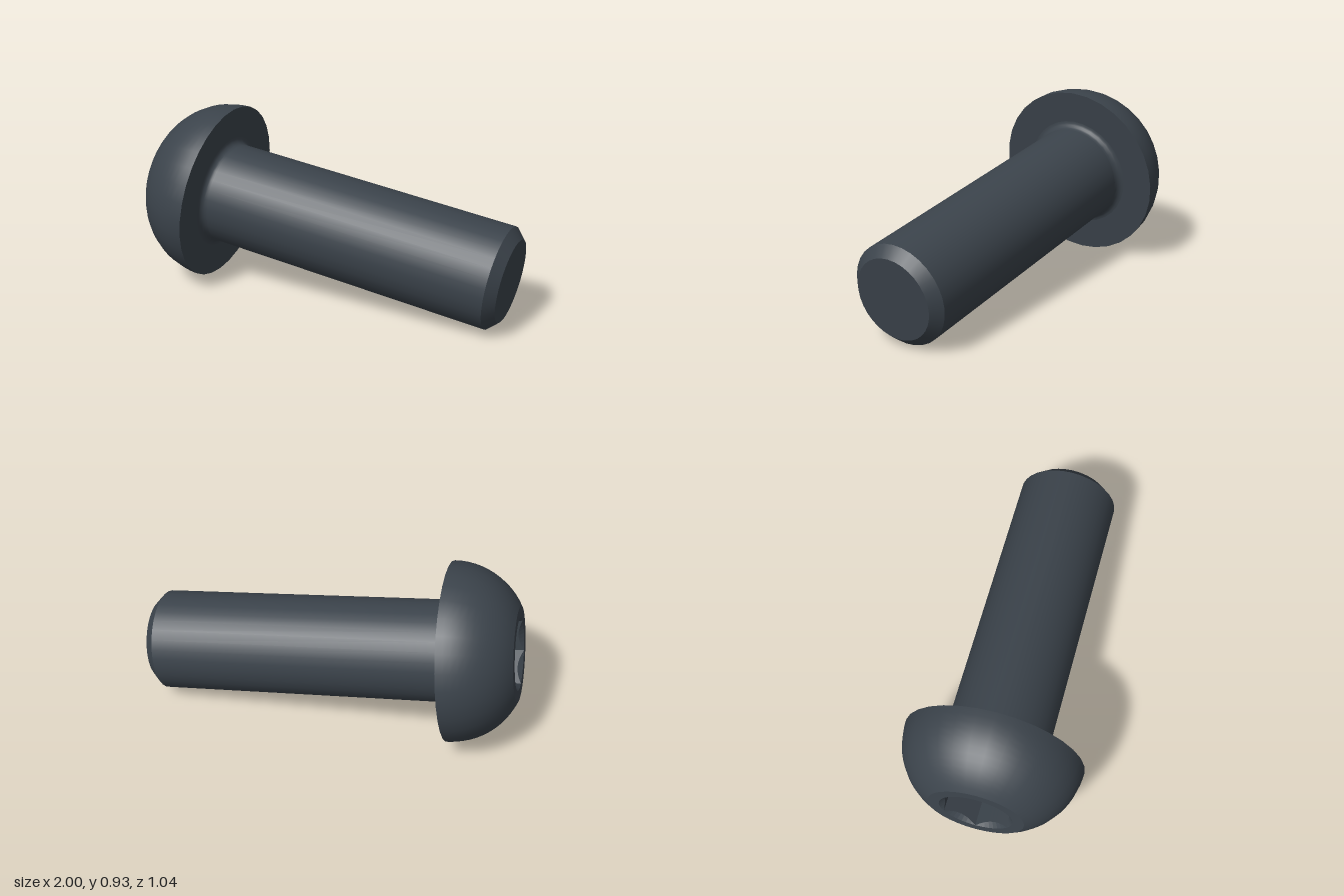
import * as THREE from 'three';

const SIDES = 32;
const HEAD_TOP = -1.946, HEAD_BASE = -1.6; // distances along the bolt axis, tip = 0
const SHANK_R = 0.264, TIP_R = 0.213, RIM_R = 0.465, CROWN_R = 0.245;
const SOCKET_R = 0.187, SOCKET_DEPTH = 0.2;

// points on an arc, as [radius, axial position]
function arc(cr, ct, r, a0, a1, n) {
  return Array.from({ length: n + 1 }, (_, i) => {
    const a = a0 + ((a1 - a0) * i) / n;
    return [cr + r * Math.cos(a), ct + r * Math.sin(a)];
  });
}

// hexagonal recess: floor, straight walls and a conical lead-in that scallops each wall
function socketGeometry() {
  const n = 48, apothem = SOCKET_R * Math.cos(Math.PI / 6);
  const ring = (j, i) => {
    const phi = ((i % n) / n) * Math.PI * 2;
    const hex = apothem / Math.cos((phi % (Math.PI / 3)) - Math.PI / 6);
    const r = [0, hex, hex, SOCKET_R][j];
    const depth = [SOCKET_DEPTH, SOCKET_DEPTH, SOCKET_R - hex, 0][j];
    return [r * Math.sin(phi), HEAD_TOP + depth, r * Math.cos(phi)];
  };
  const pos = [];
  for (let j = 0; j < 3; j++) {
    for (let i = 0; i < n; i++) {
      const a = ring(j, i), b = ring(j, i + 1), c = ring(j + 1, i + 1), d = ring(j + 1, i);
      if (j > 0) pos.push(...a, ...b, ...d);
      pos.push(...c, ...d, ...b);
    }
  }
  const geo = new THREE.BufferGeometry();
  geo.setAttribute('position', new THREE.Float32BufferAttribute(pos, 3));
  geo.computeVertexNormals();
  return geo;
}

export function createModel() {
  const steel = new THREE.MeshStandardMaterial({ color: 0x3b434b });
  steel.name = 'dark steel';

  const bolt = new THREE.Group();
  bolt.name = 'bolt';
  const add = (name, geo) => {
    const mesh = new THREE.Mesh(geo, steel);
    mesh.name = name;
    bolt.add(mesh);
  };
  // each turned surface is its own lathe, so the edges between them stay sharp
  const turned = (name, profile) =>
    add(name, new THREE.LatheGeometry(profile.map(([r, t]) => new THREE.Vector2(r, t)), SIDES));

  // button head
  const rise = HEAD_BASE - HEAD_TOP, inset = RIM_R - CROWN_R;
  const domeR = (rise * rise + inset * inset) / (2 * inset);
  add('hexSocket', socketGeometry());
  turned('headCrown', [[SOCKET_R, HEAD_TOP], [CROWN_R, HEAD_TOP]]);
  turned('headDome', arc(RIM_R - domeR, HEAD_BASE, domeR, -Math.asin(rise / domeR), 0, 12));
  const fillet = 0.035;
  turned('headUnderside', [[RIM_R, HEAD_BASE], [SHANK_R + fillet, HEAD_BASE]]);

  // shank with a fillet under the head and a chamfered tip
  const chamfer = SHANK_R - TIP_R;
  turned('shankFillet', arc(SHANK_R + fillet, HEAD_BASE + fillet, fillet, -Math.PI / 2, -Math.PI, 5));
  turned('shank', [[SHANK_R, HEAD_BASE + fillet], [SHANK_R, -chamfer]]);
  turned('tipChamfer', [[SHANK_R, -chamfer], [TIP_R, 0]]);
  turned('tipFace', [[TIP_R, 0], [0, 0]]);

  // tilt the bolt so its axis runs from the head to the tip
  const axis = new THREE.Vector3(1, -0.131, 0.214).normalize();
  const up = new THREE.Vector3(0, 1, 0).addScaledVector(axis, -axis.y).normalize();
  const side = new THREE.Vector3().crossVectors(axis, up);
  bolt.quaternion.setFromRotationMatrix(new THREE.Matrix4().makeBasis(side, axis, up));
  bolt.position.set(0.947, 0.259, 0.271);

  const model = new THREE.Group();
  model.name = 'buttonHeadBolt';
  model.add(bolt);
  return model;
}
